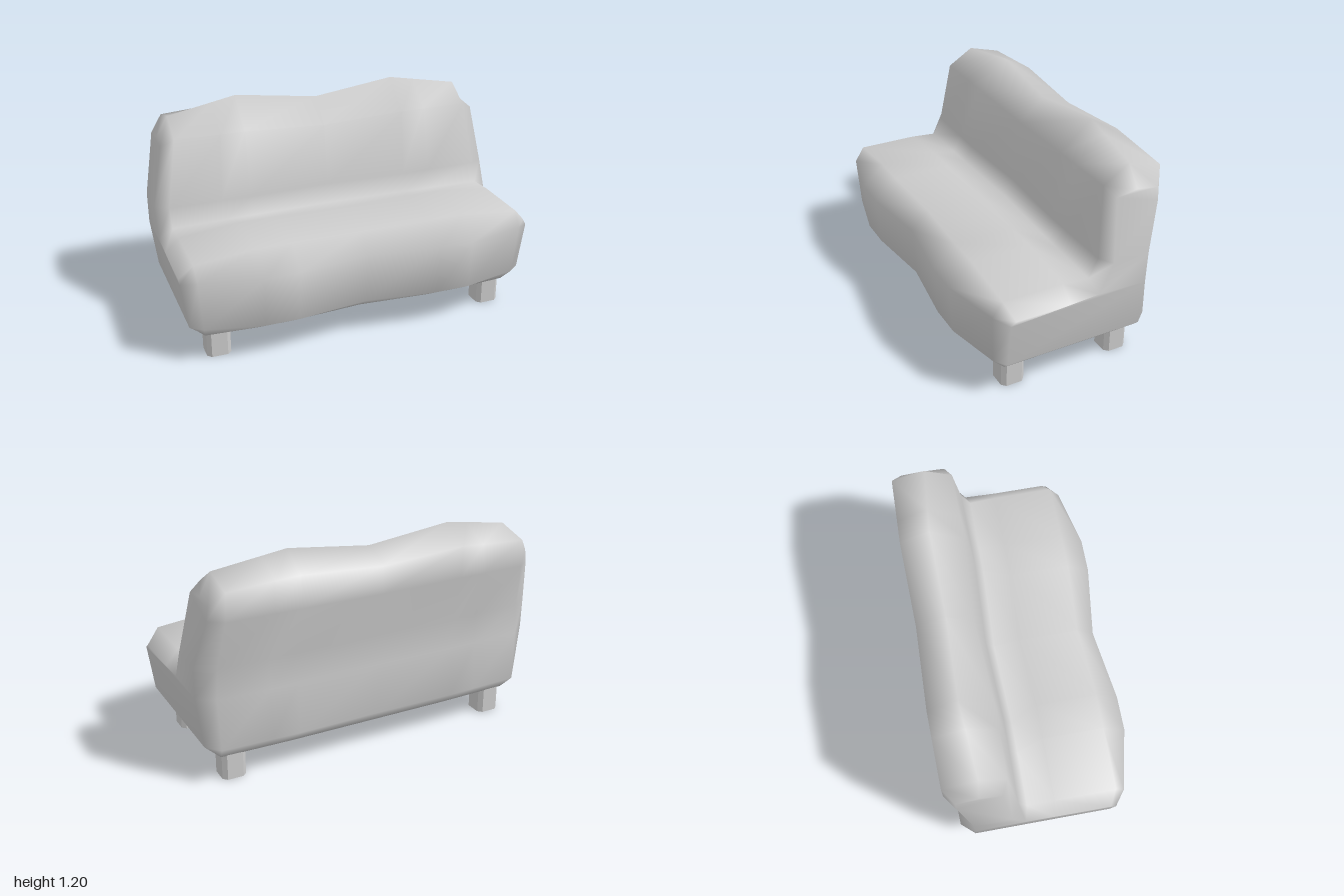
import * as THREE from 'three';

const grey = () => new THREE.MeshStandardMaterial({ color: 0xcccccc });

// Cross-sections from the bottom front edge, over the seat and back, to the bottom rear edge.
// Centre and crown sections hold [z, y].
const centre = [
  [0.35, 0.14], [0.455, 0.22], [0.47, 0.5], [0.37, 0.6], [0.04, 0.6],
  [-0.11, 0.57], [-0.155, 0.67], [-0.205, 1.01], [-0.35, 1.135], [-0.51, 1.07],
  [-0.51, 0.92], [-0.46, 0.67], [-0.46, 0.5], [-0.475, 0.22], [-0.4, 0.14],
];
const crown = [
  [0.38, 0.14], [0.505, 0.22], [0.525, 0.5], [0.395, 0.615], [0.06, 0.615],
  [-0.09, 0.575], [-0.135, 0.67], [-0.18, 1.04], [-0.36, 1.195], [-0.523, 1.105],
  [-0.523, 0.93], [-0.465, 0.67], [-0.465, 0.5], [-0.48, 0.22], [-0.4, 0.14],
];
// Rim and side sections hold [x, y, z].
const rim = [
  [0.88, 0.14, 0.36], [0.9, 0.22, 0.435], [0.92, 0.5, 0.45], [0.925, 0.58, 0.395], [0.925, 0.58, 0.06],
  [0.925, 0.568, -0.09], [0.925, 0.67, -0.14], [0.865, 1.04, -0.185], [0.865, 1.13, -0.33], [0.865, 1.08, -0.515],
  [0.87, 0.93, -0.515], [0.9, 0.67, -0.455], [0.91, 0.5, -0.455], [0.9, 0.22, -0.465], [0.88, 0.14, -0.39],
];
const side = [
  [0.925, 0.18, 0.36], [0.965, 0.22, 0.385], [1, 0.48, 0.39], [1, 0.5, 0.36], [1, 0.5, 0.05],
  [1, 0.51, -0.11], [1, 0.67, -0.185], [0.935, 1.0, -0.22], [0.93, 1.015, -0.34], [0.935, 1.0, -0.46],
  [0.945, 0.93, -0.46], [1, 0.67, -0.39], [1, 0.5, -0.385], [0.965, 0.22, -0.39], [0.925, 0.18, -0.38],
];
// Polygons that close each end, as section indices.
const endFaces = [
  [0, 1, 13, 14], [1, 2, 12, 13], [2, 3, 4], [2, 4, 5], [2, 5, 12],
  [5, 6, 11, 12], [6, 7, 10, 11], [7, 8, 9, 10],
];

function upholsteryGeometry() {
  const n = centre.length;
  const mid = centre.map(([z, y]) => [0, y, z]);
  const inner = crown.map(([z, y], i) => [i < 5 ? 0.4 : 0.47, y, z]);
  // The cushion front keeps a short plateau; the rest slopes on towards the rim.
  const outer = inner.map((p, i) => i < 5
    ? [0.59, p[1], p[2]]
    : p.map((v, k) => THREE.MathUtils.lerp(v, rim[i][k], 0.35)));
  const half = [inner, outer, rim, side];
  const mirror = ring => ring.map(([x, y, z]) => [-x, y, z]);
  const rings = [...half.map(mirror).reverse(), mid, ...half];

  const index = [];
  for (let r = 0; r < rings.length - 1; r++) {
    for (let j = 0; j < n; j++) {
      const k = (j + 1) % n;
      const a = r * n + j, b = a + n, c = (r + 1) * n + k, d = r * n + k;
      index.push(a, b, c, a, c, d);
    }
  }
  const last = (rings.length - 1) * n;
  for (const f of endFaces) {
    for (let i = 1; i < f.length - 1; i++) {
      index.push(f[0], f[i], f[i + 1]);
      index.push(last + f[0], last + f[i + 1], last + f[i]);
    }
  }
  const geometry = new THREE.BufferGeometry();
  geometry.setAttribute('position', new THREE.Float32BufferAttribute(rings.flat(2), 3));
  geometry.setIndex(index);
  geometry.computeVertexNormals();
  return geometry;
}

// Square post with chamfered corners, standing on y = 0.
function legGeometry(width, chamfer, height) {
  const h = width / 2, c = h - chamfer;
  const outline = new THREE.Shape([
    [h, -c], [h, c], [c, h], [-c, h], [-h, c], [-h, -c], [-c, -h], [c, -h],
  ].map(([x, y]) => new THREE.Vector2(x, y)));
  return new THREE.ExtrudeGeometry(outline, { depth: height, bevelEnabled: false }).rotateX(-Math.PI / 2);
}

export function createModel() {
  const model = new THREE.Group();
  model.name = 'sofa';

  const body = new THREE.Mesh(upholsteryGeometry(), grey());
  body.name = 'seatAndBack';
  model.add(body);

  const legShape = legGeometry(0.132, 0.022, 0.15);
  for (const [sideName, sx] of [['Left', 1], ['Right', -1]]) {
    for (const [endName, z] of [['front', 0.295], ['rear', -0.33]]) {
      const leg = new THREE.Mesh(legShape, grey());
      leg.name = `${endName}${sideName}Leg`;
      leg.position.set(sx * 0.805, 0, z);
      model.add(leg);
    }
  }
  return model;
}
